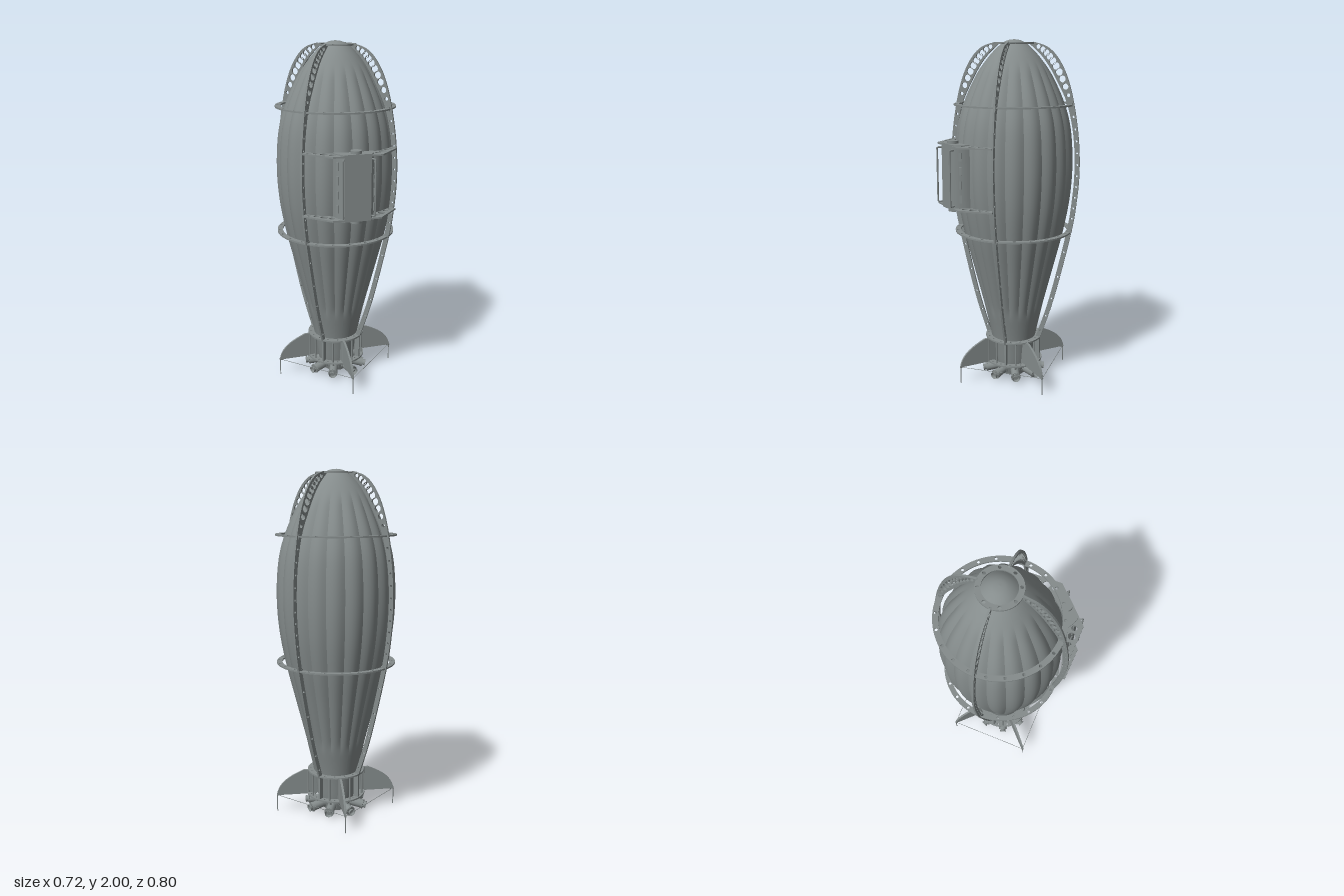
import * as THREE from 'three';

const AXIS_Z = -0.043; // hull axis, the pod on the front shifts it back
const V2 = (x, y) => new THREE.Vector2(x, y);
const V3 = (x, y, z) => new THREE.Vector3(x, y, z);
const mat = new THREE.MeshStandardMaterial({ color: 0x858c8c, side: THREE.DoubleSide });

function add(parent, name, geometry, x = 0, y = 0, z = 0) {
  const mesh = new THREE.Mesh(geometry, mat);
  mesh.name = name;
  mesh.position.set(x, y, z);
  parent.add(mesh);
  return mesh;
}

// n copies around the hull axis; in each copy +x points outward
function radial(parent, name, n, offset, build) {
  for (let i = 0; i < n; i++) {
    const g = new THREE.Group();
    g.name = name;
    g.rotation.y = offset + (i / n) * Math.PI * 2;
    build(g);
    parent.add(g);
  }
}

function hole(shape, x, y, r) {
  const p = new THREE.Path();
  p.absarc(x, y, r, 0, Math.PI * 2, true);
  shape.holes.push(p);
}

// upright sheet, centred on its own thickness
const sheet = (shape, t) =>
  new THREE.ExtrudeGeometry(shape, { depth: t, bevelEnabled: false, curveSegments: 12 }).translate(0, 0, -t / 2);
// level sheet: shape y becomes z
const level = (shape, t, curveSegments = 12) =>
  new THREE.ExtrudeGeometry(shape, { depth: t, bevelEnabled: false, curveSegments })
    .translate(0, 0, -t / 2).rotateX(Math.PI / 2);

function rod(parent, name, a, b, r, sides = 8) {
  const m = add(parent, name, new THREE.CylinderGeometry(r, r, a.distanceTo(b), sides));
  m.position.copy(a).lerp(b, 0.5);
  m.quaternion.setFromUnitVectors(V3(0, 1, 0), b.clone().sub(a).normalize());
}

function ring(parent, name, y, outer, inner, count, holeR, phase = 0.5) {
  const s = new THREE.Shape();
  s.absarc(0, 0, outer, 0, Math.PI * 2);
  hole(s, 0, 0, inner);
  const mid = (outer + inner) / 2;
  for (let i = 0; i < count; i++) {
    const a = ((i + phase) / count) * Math.PI * 2;
    hole(s, Math.cos(a) * mid, Math.sin(a) * mid, holeR);
  }
  add(parent, name, level(s, 0.009, 40), 0, y, 0);
}

// hull of 20 bulging gores with creased seams, smooth at nose and tail
function buildHull(parent) {
  const profile = new THREE.SplineCurve([
    V2(0.095, 0.05), V2(0.108, 0.1), V2(0.132, 0.25), V2(0.165, 0.4), V2(0.19, 0.5), V2(0.242, 0.7),
    V2(0.292, 0.9), V2(0.328, 1.1), V2(0.34, 1.3), V2(0.326, 1.5), V2(0.286, 1.65), V2(0.217, 1.8),
    V2(0.147, 1.9), V2(0.085, 1.965), V2(0.04, 1.993), V2(0, 2),
  ]).getPoints(90);
  const hull = new THREE.Group();
  hull.name = 'hull';
  const N = 20;
  for (let i = 0; i < N; i++) {
    const start = (i / N) * Math.PI * 2;
    const g = new THREE.LatheGeometry(profile, 6, start, (Math.PI * 2) / N);
    const p = g.attributes.position;
    for (let k = 0; k < p.count; k++) {
      const y = p.getY(k);
      const t = Math.floor(k / profile.length) / 6;
      const fade = THREE.MathUtils.smoothstep(y, 0.38, 0.48) * (1 - THREE.MathUtils.smoothstep(y, 1.78, 1.9));
      const f = 1 - 0.042 * fade * (1 - Math.sin(Math.PI * t));
      p.setXYZ(k, p.getX(k) * f, y, p.getZ(k) * f);
    }
    g.computeVertexNormals();
    add(hull, 'hullGore', g);
  }
  add(hull, 'tailCap', new THREE.CylinderGeometry(0.095, 0.08, 0.02, 24), 0, 0.045, 0);
  parent.add(hull);
}

// perforated ribs standing off the hull
function buildRibs(parent) {
  const outer = new THREE.SplineCurve([
    V2(0.115, 1.985), V2(0.19, 1.96), V2(0.25, 1.905), V2(0.303, 1.81), V2(0.345, 1.67), V2(0.378, 1.47),
    V2(0.388, 1.28), V2(0.376, 1.1), V2(0.345, 0.9), V2(0.25, 0.5), V2(0.165, 0.235)]);
  const inner = new THREE.SplineCurve([
    V2(0.09, 1.975), V2(0.15, 1.922), V2(0.2, 1.86), V2(0.253, 1.77), V2(0.312, 1.645), V2(0.35, 1.47),
    V2(0.36, 1.28), V2(0.348, 1.1), V2(0.317, 0.9), V2(0.222, 0.5), V2(0.137, 0.235)]);
  const shape = new THREE.Shape([...outer.getPoints(60), ...inner.getPoints(60).reverse()]);
  for (let i = 0; i < 27; i++) {
    const t = 0.06 + (i / 26) * 0.91;
    const o = outer.getPoint(t);
    const n = inner.getPoint(t);
    const c = o.clone().lerp(n, 0.5);
    hole(shape, c.x, c.y, o.distanceTo(n) * (c.y > 1.72 ? 0.3 : 0.22));
  }
  const geometry = sheet(shape, 0.011);
  radial(parent, 'rib', 4, Math.PI / 4, (g) => {
    add(g, 'ribPlate', geometry);
    for (const y of [1.641, 0.911]) add(g, 'ribClip', new THREE.BoxGeometry(0.024, 0.026, 0.016), 0.328, y, 0);
  });
}

// four fins with landing legs, tail collar and bracing wires
function buildTail(parent) {
  const s = new THREE.Shape();
  s.moveTo(0.1, 0.1);
  s.lineTo(0.12, 0.25);
  s.lineTo(0.196, 0.25);
  s.bezierCurveTo(0.26, 0.222, 0.345, 0.185, 0.356, 0.1);
  const fin = sheet(s, 0.012);
  radial(parent, 'fin', 4, 0, (g) => {
    add(g, 'finPlate', fin);
    rod(g, 'finLeg', V3(0.354, 0, 0), V3(0.354, 0.11, 0), 0.003);
    rod(g, 'finFoot', V3(0.335, 0.1, 0), V3(0.358, 0.1, 0), 0.006);
    rod(g, 'finPost', V3(0.168, 0.1, 0), V3(0.168, 0.25, 0), 0.008);
    rod(g, 'bracingWire', V3(0.354, 0.1, 0), V3(0, 0.1, 0.354), 0.0015, 5);
  });
  radial(parent, 'collarPost', 4, Math.PI / 4, (g) => {
    add(g, 'collarPostBar', new THREE.BoxGeometry(0.03, 0.15, 0.012), 0.15, 0.175, 0);
  });
  radial(parent, 'collarStay', 8, Math.PI / 8, (g) => {
    rod(g, 'collarStayRod', V3(0.158, 0.1, 0), V3(0.158, 0.25, 0), 0.005);
  });
  ring(parent, 'upperCollar', 0.247, 0.168, 0.13, 16, 0.006);
  ring(parent, 'lowerCollar', 0.103, 0.172, 0.135, 16, 0.006);
}

// splayed motors around a hub
function buildMotors(parent) {
  add(parent, 'motorHub', new THREE.CylinderGeometry(0.098, 0.085, 0.04, 8), 0, 0.035, 0);
  radial(parent, 'motor', 8, Math.PI / 8, (g) => {
    const m = new THREE.Group();
    m.name = 'motorAssembly';
    m.position.set(0.128, 0.044, 0);
    m.rotation.z = -Math.PI / 2 - 0.18;
    g.add(m);
    add(m, 'motorBody', new THREE.CylinderGeometry(0.026, 0.026, 0.085, 12));
    for (const y of [-0.036, 0.036])
      add(m, 'motorBand', new THREE.CylinderGeometry(0.029, 0.029, 0.008, 12), 0, y, 0);
    add(m, 'motorNozzle', new THREE.CylinderGeometry(0.021, 0.016, 0.018, 12, 1, true), 0, 0.05, 0);
    add(m, 'motorShaft', new THREE.CylinderGeometry(0.012, 0.012, 0.04, 8), 0, -0.055, 0);
    rod(g, 'motorStrut', V3(0.14, 0.1, 0), V3(0.128, 0.06, 0), 0.005);
  });
}

// equipment pod carried on two perforated shelves at the front
function buildPod(parent) {
  const pod = new THREE.Group();
  pod.name = 'pod';
  const s = new THREE.Shape();
  s.moveTo(0.272, 0.232);
  s.lineTo(0.138, 0.375);
  s.lineTo(-0.138, 0.375);
  s.lineTo(-0.272, 0.232);
  s.absarc(0, AXIS_Z, 0.348, Math.PI * 0.75, Math.PI * 0.25, true);
  for (const side of [-1, 1])
    for (const [x, z, r] of [[0.234, 0.24, 0.01], [0.2, 0.262, 0.014], [0.164, 0.294, 0.021], [0.128, 0.326, 0.016]])
      hole(s, side * x, z, r);
  for (const y of [1.428, 1.083]) add(pod, 'podShelf', level(s, 0.009, 24), 0, y, 0);

  const c = new THREE.Shape();
  c.moveTo(-0.113, 0.287);
  c.quadraticCurveTo(-0.108, 0.34, -0.075, 0.375);
  c.lineTo(0.075, 0.375);
  c.quadraticCurveTo(0.108, 0.34, 0.113, 0.287);
  c.quadraticCurveTo(0, 0.318, -0.113, 0.287);
  add(pod, 'podCase', level(c, 0.365), 0, 1.2555, 0);
  for (const y of [1.446, 1.065]) add(pod, 'podCap', new THREE.CylinderGeometry(0.031, 0.031, 0.016, 24), 0, y, 0.338);

  for (const side of [-1, 1]) {
    const path = new THREE.CurvePath();
    const pts = [V3(0.075, 1.1, 0.36), V3(0.09, 1.1, 0.396), V3(0.09, 1.41, 0.396), V3(0.075, 1.41, 0.36)];
    pts.forEach((p) => { p.x *= side; });
    for (let i = 0; i < 3; i++) path.add(new THREE.LineCurve3(pts[i], pts[i + 1]));
    add(pod, 'podHandle', new THREE.TubeGeometry(path, 48, 0.005, 8));
    for (let i = 0; i < 4; i++) {
      const lug = add(pod, 'podSideLug', new THREE.BoxGeometry(0.012, 0.045, 0.014), side * 0.1, 1.14 + i * 0.078, 0.338);
      lug.rotation.y = side * -0.6;
    }
  }
  parent.add(pod);
}

export function createModel() {
  const model = new THREE.Group();
  model.name = 'airship';
  const body = new THREE.Group();
  body.name = 'body';
  body.position.z = AXIS_Z;
  model.add(body);
  buildHull(body);
  buildRibs(body);
  ring(body, 'noseRing', 1.978, 0.117, 0.088, 8, 0.009);
  ring(body, 'upperRing', 1.641, 0.343, 0.312, 22, 0.0085, 0.13);
  ring(body, 'lowerRing', 0.911, 0.343, 0.312, 22, 0.0085, 0.63);
  buildTail(body);
  buildMotors(body);
  buildPod(model);
  return model;
}
